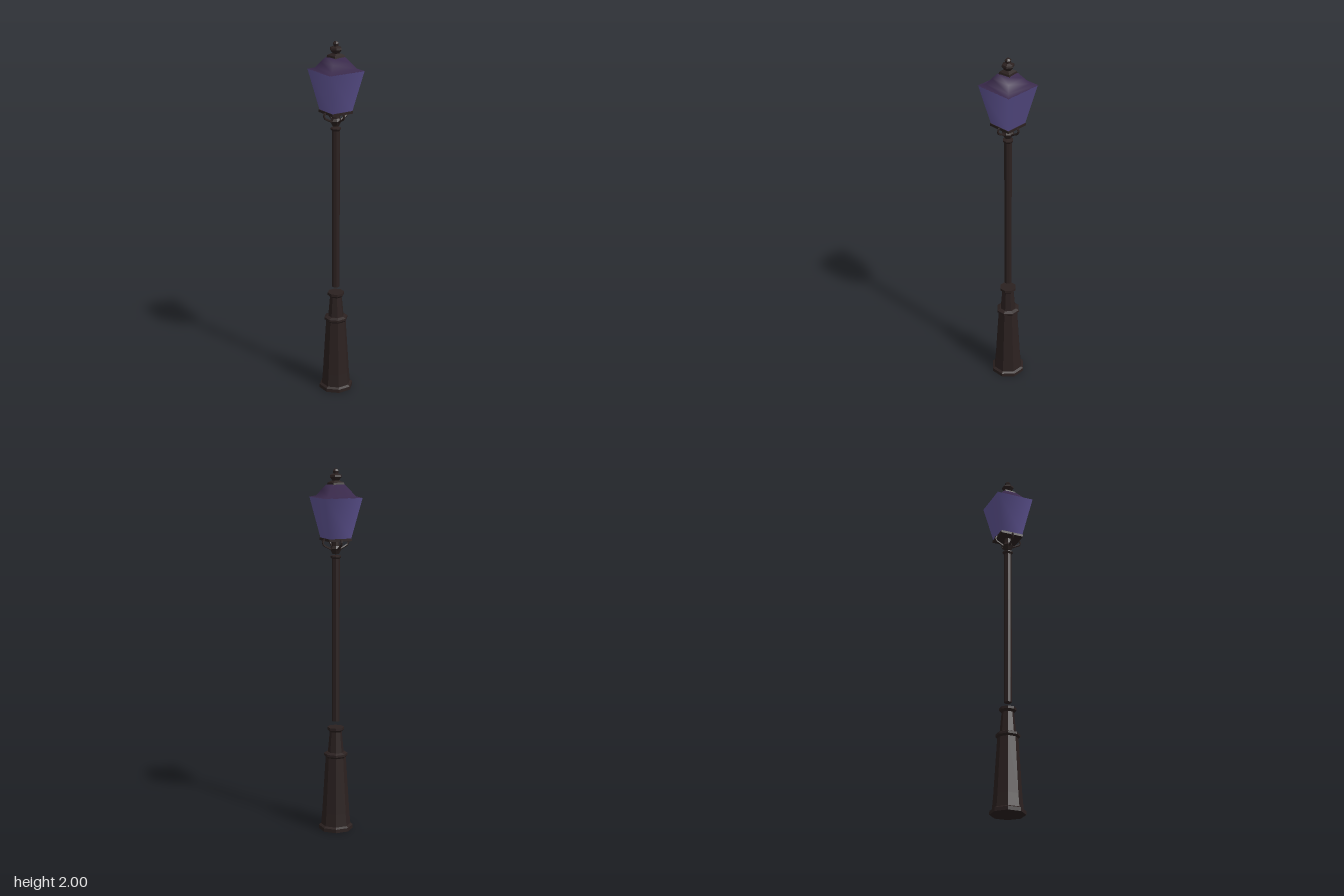
import * as THREE from 'three';

const material = (name, color, extra = {}) => {
  const m = new THREE.MeshStandardMaterial({ color, ...extra });
  m.name = name;
  return m;
};

export function createModel() {
  const lamp = new THREE.Group();
  lamp.name = 'streetLamp';
  const iron = material('dark iron', 0x2b2120, { flatShading: true });
  const glass = material('violet glass', 0x625798);
  const roofPaint = material('deep purple roof', 0x3a2a4c);

  const add = (name, geometry, mat, parent = lamp) => {
    const mesh = new THREE.Mesh(geometry, mat);
    mesh.name = name;
    parent.add(mesh);
    return mesh;
  };

  // Turned part: profile of [half width, height], faces square to the axes
  const turned = (name, sides, profile, mat = iron, turn = Math.PI / sides) => {
    const k = 1 / Math.cos(Math.PI / sides);
    const points = profile.map(([r, y]) => new THREE.Vector2(r * k, y));
    return add(name, new THREE.LatheGeometry(points, sides).rotateY(turn), mat);
  };

  // Octagonal foot, tapering pedestal and collar
  turned('pedestal', 8, [
    [0, 0], [0.088, 0], [0.088, 0.02], [0.076, 0.028], [0.07, 0.1], [0.052, 0.415],
    [0.061, 0.425], [0.061, 0.437], [0.045, 0.445], [0, 0.445],
  ]);
  // Narrow neck with a flared cap
  turned('pedestalNeck', 8, [
    [0, 0.44], [0.041, 0.44], [0.031, 0.56], [0.043, 0.572], [0.043, 0.586], [0, 0.586],
  ]);
  // Slim shaft, standing clear of the pedestal, with a small cap
  turned('shaft', 8, [
    [0, 0.62], [0.02, 0.62], [0.02, 1.52], [0.027, 1.53], [0.027, 1.536], [0, 1.542],
  ]);
  // Stem carrying the lantern
  turned('lanternStem', 8, [
    [0, 1.546], [0.016, 1.546], [0.03, 1.575], [0.02, 1.59], [0.018, 1.632], [0, 1.632],
  ]);

  // Four bent brackets under the lantern
  for (let i = 0; i < 4; i++) {
    const bracket = new THREE.Group();
    bracket.name = 'bracket';
    bracket.rotation.y = i * Math.PI / 2;
    const path = new THREE.CurvePath();
    const pts = [[0.015, 1.566], [0.068, 1.594], [0.076, 1.608], [0.07, 1.624], [0.05, 1.624]]
      .map(([x, y]) => new THREE.Vector3(x, y, 0));
    for (let j = 1; j < pts.length; j++) path.add(new THREE.LineCurve3(pts[j - 1], pts[j]));
    add('bracketArm', new THREE.TubeGeometry(path, 16, 0.006, 5), iron, bracket);
    lamp.add(bracket);
  }

  // Lantern: square floor, flared glass and concave roof
  turned('lanternFloor', 4, [[0, 1.618], [0.066, 1.618], [0.066, 1.632], [0, 1.632]]);
  turned('lanternGlass', 4, [[0.063, 1.632], [0.108, 1.85]], glass);
  turned('lanternRoof', 4, [
    [0.11, 1.849], [0.08, 1.858], [0.058, 1.89], [0.036, 1.918], [0, 1.92],
  ], roofPaint);

  // Stacked finial
  turned('finialBase', 4, [
    [0, 1.912], [0.035, 1.915], [0.032, 1.928], [0.016, 1.938], [0, 1.938],
  ], iron, Math.PI / 4 + 0.1);
  turned('finialKnob', 6, [
    [0, 1.93], [0.014, 1.935], [0.03, 1.958], [0.028, 1.968], [0.012, 1.976],
    [0.015, 1.99], [0.008, 2], [0, 2],
  ]);
  return lamp;
}
